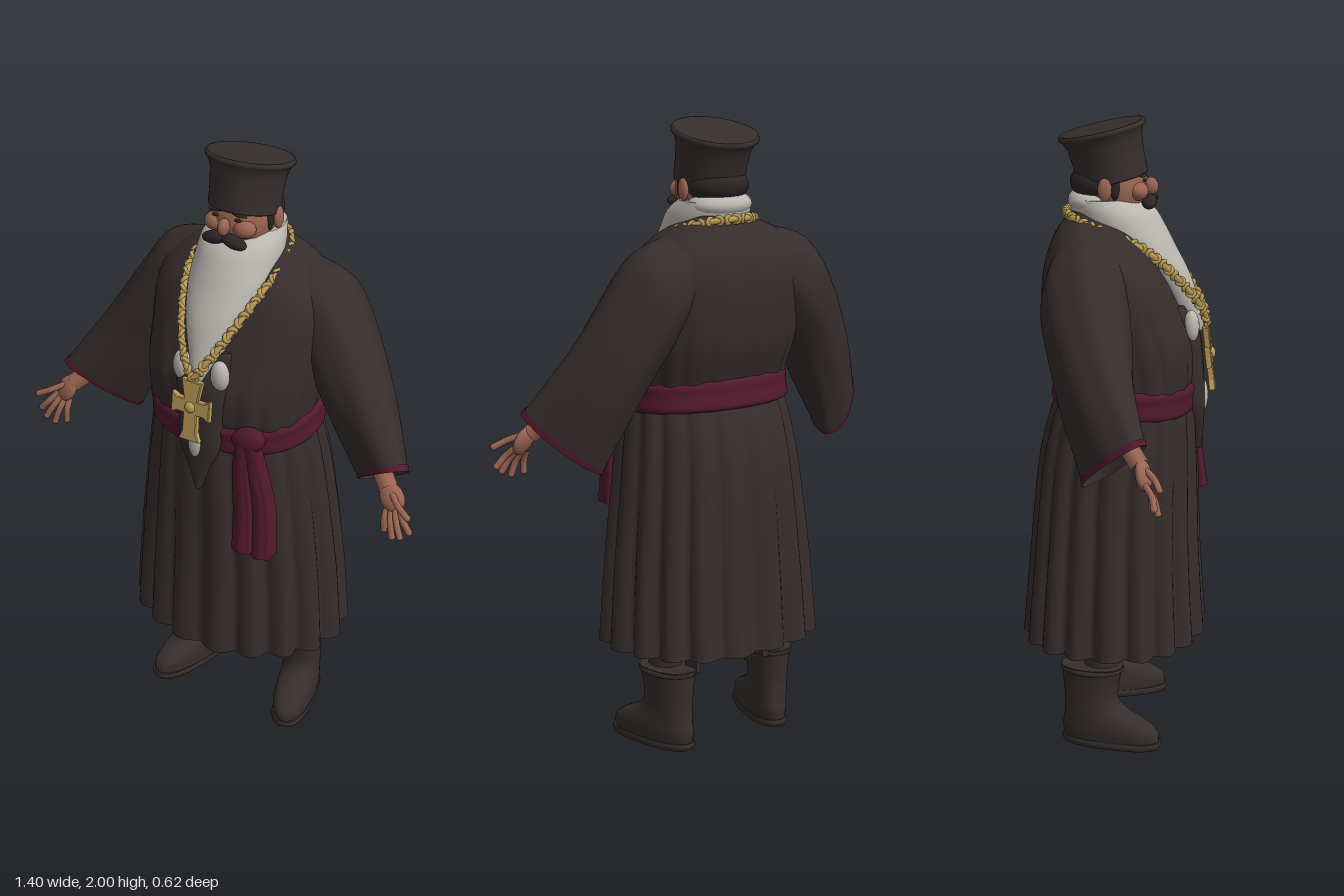
import * as THREE from 'three';

const mat = (name, color, side = THREE.FrontSide) => {
  const m = new THREE.MeshStandardMaterial({ color, side });
  m.name = name;
  return m;
};
const V = (x, y, z) => new THREE.Vector3(x, y, z);
const pow = (c, p) => Math.sign(c) * Math.abs(c) ** p;

// Catmull-Rom resampling of rows of numbers, all rows equally long
function smooth(rows, k = 4) {
  const out = [];
  const at = i => rows[Math.min(Math.max(i, 0), rows.length - 1)];
  for (let i = 0; i < rows.length - 1; i++) {
    for (let s = 0; s < k; s++) {
      const t = s / k;
      out.push(at(i).map((b, j) => {
        const a = at(i - 1)[j], c = at(i + 1)[j], d = at(i + 2)[j];
        return b + 0.5 * t * (c - a + t * (2 * a - 5 * b + 4 * c - d + t * (3 * (b - c) + d - a)));
      }));
    }
  }
  out.push(rows[rows.length - 1]);
  return out;
}

// Skin over closed rings; flip reverses the winding
function loft(rings, flip, caps) {
  const n = rings[0].length, pts = rings.flat(), idx = [];
  const tri = (a, b, c) => (flip ? idx.push(a, c, b) : idx.push(a, b, c));
  for (let i = 0; i < rings.length - 1; i++) {
    for (let j = 0; j < n; j++) {
      const a = i * n + j, b = i * n + (j + 1) % n;
      tri(a, b, a + n);
      tri(b, b + n, a + n);
    }
  }
  if (caps) {
    for (const r of [0, rings.length - 1]) {
      const mid = rings[r].reduce((s, p) => s.add(p), V(0, 0, 0)).divideScalar(n);
      const base = pts.length;
      pts.push(...rings[r].map(p => p.clone()), mid);
      for (let j = 0; j < n; j++) {
        const a = base + j, b = base + (j + 1) % n;
        if (r === 0) tri(b, a, base + n);
        else tri(a, b, base + n);
      }
    }
  }
  const g = new THREE.BufferGeometry().setFromPoints(pts);
  g.setIndex(idx);
  g.computeVertexNormals();
  return g;
}

// Upright form from rows [y, half width, front z, back z, fold depth, centre x], bottom to top
function stack(rows, { n = 40, p = 1, fold = () => 0, caps = true } = {}) {
  return loft(smooth(rows).map(([y, rx, zf, zb, depth = 0, cx = 0]) =>
    Array.from({ length: n }, (_, j) => {
      const t = (j / n) * Math.PI * 2, f = 1 + depth * fold(t);
      return V(cx + rx * f * pow(Math.sin(t), p), y, (zf + zb) / 2 + (zf - zb) / 2 * f * pow(Math.cos(t), p));
    })), false, caps);
}

// Open sleeve from rows [centre xyz, axis u xyz, axis v xyz]; s mirrors it in x
function limb(rows, s) {
  const n = 84;
  return loft(rows.map(r => Array.from({ length: n }, (_, j) => {
    const t = (j / n) * Math.PI * 2, f = 1 + 0.015 * Math.cos(7 * t);
    const q = k => r[k] + f * (r[3 + k] * Math.cos(t) + r[6 + k] * Math.sin(t));
    return V(s * q(0), q(1), q(2));
  })), s < 0, false);
}

export function createModel() {
  const root = new THREE.Group();
  root.name = 'robedMan';
  const cloth = mat('dark cloth', 0x362d2c, THREE.DoubleSide);
  const leather = mat('boot leather', 0x362e2c);
  const felt = mat('hat felt', 0x352e2d);
  const red = mat('burgundy', 0x52192c, THREE.DoubleSide);
  const white = mat('white beard', 0xbbb7b0);
  const skin = mat('skin', 0x9a6552);
  const hair = mat('dark hair', 0x2b2423);
  const gold = mat('gold', 0xbd9d57);
  const add = (name, geo, m, parent = root) => {
    const mesh = new THREE.Mesh(geo, m);
    mesh.name = name;
    parent.add(mesh);
    return mesh;
  };
  const blob = (name, m, x, y, z, rx, ry, rz) => {
    const b = add(name, new THREE.SphereGeometry(1, 20, 12), m);
    b.position.set(x, y, z);
    b.scale.set(rx, ry, rz);
    return b;
  };
  const rod = (name, m, pts, r) =>
    add(name, new THREE.TubeGeometry(new THREE.CatmullRomCurve3(pts), 8, r, 8), m);

  // Pleated skirt, robe and the flap hanging over the belly
  const pleat = t => Math.abs(Math.sin(9 * t)) - 0.6 + 0.12 * Math.sin(5 * t + 1);
  add('skirt', stack([
    [0.335, 0.352, 0.278, -0.294, 0.11], [0.6, 0.335, 0.262, -0.272, 0.095], [0.9, 0.302, 0.255, -0.245, 0.07],
    [1.06, 0.28, 0.248, -0.212, 0.05], [1.16, 0.262, 0.235, -0.172, 0.03],
  ], { n: 180, p: 0.92, fold: pleat, caps: false }), cloth);
  add('robeBody', stack([
    [1.14, 0.258, 0.232, -0.17, 0.02], [1.2, 0.268, 0.245, -0.178, 0.03], [1.3, 0.283, 0.242, -0.215, 0.025],
    [1.4, 0.29, 0.205, -0.23, 0.015], [1.5, 0.295, 0.165, -0.23, 0.008], [1.58, 0.275, 0.122, -0.215, 0],
    [1.65, 0.205, 0.068, -0.185, 0], [1.69, 0.13, 0.02, -0.15, 0], [1.715, 0.1, 0, -0.135, 0],
  ], { n: 132, p: 0.78, fold: pleat }), cloth);
  add('frontFlap', stack([
    [0.94, 0.008, 0.272, 0.2], [1.02, 0.04, 0.279, 0.18], [1.1, 0.074, 0.282, 0.16], [1.2, 0.084, 0.278, 0.14],
    [1.32, 0.1, 0.264, 0.12], [1.42, 0.09, 0.22, 0.1],
  ], { p: 0.7 }), cloth);

  // Waist sash, a little higher behind, with hanging ends
  const sash = add('sash', stack([
    [-0.05, 0.268, 0.243, -0.19], [-0.038, 0.281, 0.253, -0.203], [0, 0.279, 0.252, -0.198], [0.03, 0.281, 0.254, -0.198],
    [0.045, 0.268, 0.244, -0.188],
  ], { n: 64, p: 0.9, caps: false }), red);
  sash.position.y = 1.15;
  sash.rotation.x = 0.08;
  blob('sashKnot', red, 0.165, 1.155, 0.23, 0.06, 0.042, 0.035).rotation.z = 0.3;
  for (const [i, x, w, y] of [[0, 0.165, 0.034, 0.765], [1, 0.218, 0.037, 0.75]]) {
    add('sashEnd', stack([
      [y, w, 0.288 - i * 0.02, 0.225 - i * 0.035, 0.08, x], [0.9, w * 0.95, 0.272 - i * 0.02, 0.215 - i * 0.03, 0.08, x - 0.005],
      [1.05, w * 0.85, 0.268 - i * 0.015, 0.21 - i * 0.02, 0.06, x - 0.015 - i * 0.015],
      [1.16, w * 0.6, 0.262, 0.21, 0, 0.155 + i * 0.02],
    ], { n: 36, p: 0.7, fold: t => Math.cos(6 * t) }), red);
  }

  // Sleeves, hands, boots and facial features on both sides
  const sleeve = smooth([
    [0.15, 1.545, -0.07, 0.03, 0.115, 0, 0, 0, 0.125],
    [0.265, 1.465, -0.08, 0.047, 0.15, 0, 0, 0, 0.135],
    [0.335, 1.365, -0.065, 0.068, 0.128, 0, 0, 0, 0.132],
    [0.43, 1.2, -0.03, 0.078, 0.113, 0.03, -0.02, 0.01, 0.105],
    [0.527, 1.035, 0.022, 0.1, 0.085, 0.065, -0.018, 0.032, 0.072],
  ], 5);
  const trim = sleeve.slice(-2).map(r => r.map((q, k) => (k < 3 ? q : q * 1.025)));
  trim[0] = trim[0].map((q, k) => q * 0.65 + trim[1][k] * 0.35);
  for (const s of [1, -1]) {
    const side = s > 0 ? 'left' : 'right';
    add(side + 'Sleeve', limb(sleeve, s), cloth);
    add(side + 'SleeveTrim', limb(trim, s), red);

    rod(side + 'Forearm', skin, [V(s * 0.46, 1.19, 0), V(s * 0.53, 1.11, 0.06), V(s * 0.59, 1.055, 0.105)], 0.03);
    const palm = blob(side + 'Palm', skin, s * 0.608, 1.035, 0.115, 0.038, 0.05, 0.021);
    palm.rotation.set(-0.35, 0.3 * s, 0.6 * s);
    const tips = [[0.688, 0.955, 0.15], [0.663, 0.935, 0.16], [0.633, 0.922, 0.155], [0.597, 0.93, 0.14], [0.688, 1.015, 0.165]];
    tips.forEach(([x, y, z], i) => {
      const from = i === 4 ? [0.605, 1.055, 0.115] : [0.637 - i * 0.014, 1.015 - i * 0.004, 0.12];
      const mid = V(s * (x + from[0]) / 2, (y + from[1]) / 2, (z + from[2]) / 2 + 0.008);
      rod(side + (i === 4 ? 'Thumb' : 'Finger'), skin, [V(s * from[0], from[1], from[2]), mid, V(s * x, y, z)], 0.0105);
      blob(side + 'Fingertip', skin, s * x, y, z, 0.0105, 0.0105, 0.0105);
    });

    const boot = new THREE.Group();
    boot.name = side + 'Boot';
    boot.position.set(s * 0.2, 0, -0.06);
    boot.rotation.y = s * 0.24;
    root.add(boot);
    add('sole', stack([[0, 0.06, 0.215, -0.1], [0.012, 0.064, 0.222, -0.106], [0.024, 0.062, 0.22, -0.104]], { p: 0.8 }), leather, boot);
    add('upper', stack([
      [0.02, 0.06, 0.215, -0.1], [0.055, 0.064, 0.212, -0.105], [0.085, 0.063, 0.175, -0.1], [0.115, 0.06, 0.115, -0.098],
      [0.15, 0.059, 0.08, -0.096], [0.2, 0.062, 0.08, -0.1], [0.24, 0.066, 0.088, -0.104], [0.268, 0.07, 0.094, -0.107],
    ], { p: 0.9 }), leather, boot);
    const cuff = add('cuff', new THREE.TorusGeometry(0.067, 0.01, 8, 28), leather, boot);
    cuff.rotation.x = Math.PI / 2;
    cuff.scale.y = 1.35;
    cuff.position.set(0, 0.257, -0.006);
    const tab = add('pullTab', new THREE.BoxGeometry(0.02, 0.09, 0.05), leather, boot);
    tab.position.set(-s * 0.045, 0.295, -0.075);
    add(side + 'Trouser', stack([[0.2, 0.05, 0.02, -0.09, 0, s * 0.19], [0.4, 0.06, 0.025, -0.1, 0, s * 0.18],
      [0.65, 0.08, 0.05, -0.12, 0, s * 0.14]]), cloth);

    blob(side + 'Ear', skin, s * 0.109, 1.79, -0.03, 0.014, 0.036, 0.022);
    blob(side + 'Sideburn', hair, s * 0.096, 1.795, 0, 0.012, 0.04, 0.016);
    blob(side + 'Brow', hair, s * 0.042, 1.826, 0.084, 0.026, 0.005, 0.012).rotation.z = -s * 0.1;
    blob(side + 'Eye', hair, s * 0.04, 1.81, 0.09, 0.012, 0.005, 0.006);
    blob(side + 'Cheek', skin, s * 0.05, 1.778, 0.07, 0.038, 0.03, 0.032);
    blob(side + 'Moustache', hair, s * 0.034, 1.743, 0.104, 0.044, 0.02, 0.024).rotation.z = -s * 0.2;
    blob(side + 'BeardLock', white, s * 0.068, 1.355, 0.238, 0.031, 0.052, 0.026);
  }

  // Head and beard
  blob('head', skin, 0, 1.785, -0.01, 0.103, 0.115, 0.108);
  blob('nose', skin, 0, 1.785, 0.107, 0.017, 0.028, 0.024);
  blob('backHair', hair, 0, 1.8, -0.055, 0.105, 0.06, 0.09);
  blob('napeHair', white, 0, 1.742, -0.07, 0.11, 0.045, 0.083);
  add('beard', stack([
    [1.33, 0.02, 0.275, 0.2], [1.38, 0.042, 0.27, 0.17], [1.5, 0.09, 0.235, 0.1], [1.6, 0.122, 0.185, 0],
    [1.66, 0.134, 0.155, -0.11], [1.715, 0.131, 0.12, -0.142], [1.755, 0.115, 0.06, -0.145],
  ], { n: 60 }), white);
  blob('beardTip', white, 0, 1.115, 0.278, 0.023, 0.05, 0.014);

  // Tall flared hat, leaning back
  const hat = add('hat', new THREE.LatheGeometry([
    [0, 0], [0.11, 0], [0.111, 0.005], [0.113, 0.062], [0.118, 0.115], [0.128, 0.142], [0.137, 0.148], [0.139, 0.156],
    [0.136, 0.164], [0.13, 0.165], [0.129, 0.161], [0, 0.163],
  ].map(([r, y]) => new THREE.Vector2(r, y)), 48), felt);
  hat.position.set(0, 1.807, -0.01);
  hat.rotation.x = -0.228;

  // Neck chain of twisted links on a cord
  const half = [[0.035, 1.4, 0.274], [0.09, 1.5, 0.207], [0.139, 1.615, 0.087], [0.142, 1.66, -0.02], [0.096, 1.695, -0.12]];
  const loop = new THREE.CatmullRomCurve3([
    V(0, 1.355, 0.285), ...half.map(p => V(...p)), V(0, 1.705, -0.158), ...half.slice().reverse().map(([x, y, z]) => V(-x, y, z)),
  ], true);
  add('chainCord', new THREE.TubeGeometry(loop, 120, 0.011, 6, true), gold);
  const links = 50;
  for (let i = 0; i < links; i++) {
    const link = add('chainLink', new THREE.TorusGeometry(0.011, 0.007, 6, 12), gold);
    link.position.copy(loop.getPointAt(i / links));
    link.lookAt(link.position.clone().add(loop.getTangentAt(i / links)));
    link.rotateY(i % 2 ? 0.9 : -0.9);
  }

  // Pendant cross with flared arms
  const cross = new THREE.Group();
  cross.name = 'pendantCross';
  cross.position.set(0, 1.255, 0.294);
  cross.rotation.x = -0.12;
  root.add(cross);
  const outline = [[0.033, 0.085], [0.021, 0.021], [0.048, 0.021], [0.066, 0.031], [0.066, -0.031], [0.048, -0.021],
    [0.021, -0.021], [0.022, -0.085], [0.033, -0.112]];
  const mirrored = outline.map(([x, y]) => [-x, y]).reverse();
  const shape = new THREE.Shape([...outline, ...mirrored].map(([x, y]) => new THREE.Vector2(x, y)));
  add('crossBody', new THREE.ExtrudeGeometry(shape, { depth: 0.016, bevelSize: 0.003, bevelThickness: 0.003, bevelSegments: 1 })
    .translate(0, 0, -0.01), gold, cross);
  const boss = add('crossBoss', new THREE.SphereGeometry(0.018, 16, 10), gold, cross);
  boss.scale.z = 0.6;
  boss.position.z = 0.01;
  const bail = add('crossBail', new THREE.TorusGeometry(0.014, 0.006, 8, 16), gold, cross);
  bail.position.y = 0.096;

  return root;
}
